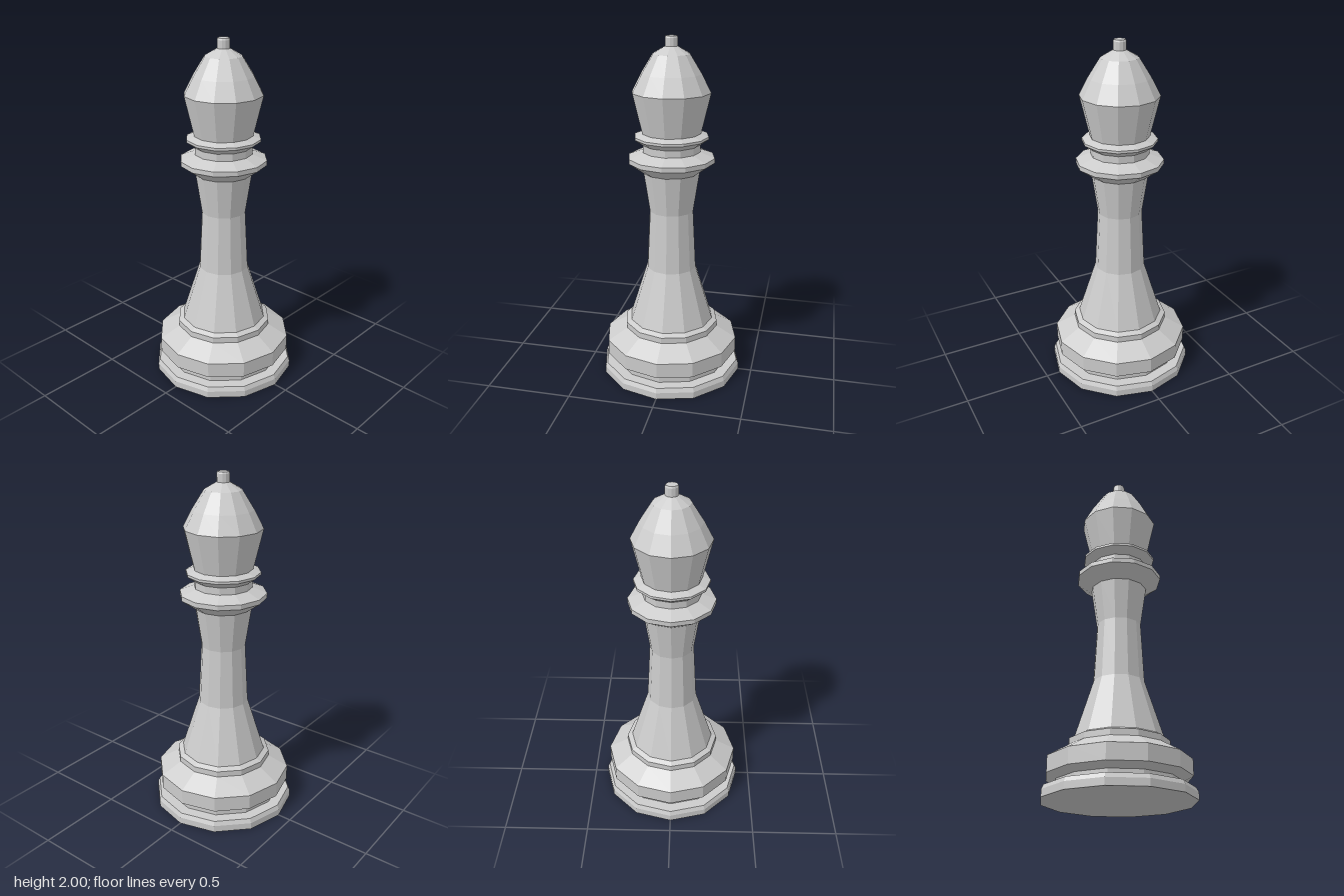
import * as THREE from 'three';

const SIDES = 12;
const material = new THREE.MeshStandardMaterial({ color: 0xcccccc, flatShading: true });

// Faceted turned section; profile is [radius, height] pairs from bottom to top
function turned(name, profile) {
  const points = profile.map(([r, y]) => new THREE.Vector2(r, y));
  const mesh = new THREE.Mesh(new THREE.LatheGeometry(points, SIDES), material);
  mesh.name = name;
  return mesh;
}

export function createModel() {
  const group = new THREE.Group();
  group.name = 'chessBishop';

  // Each section starts where the one below it ends, forming one closed skin
  group.add(
    // Foot disc with a small chamfer
    turned('foot', [[0, 0], [0.42, 0], [0.42, 0.04], [0.408, 0.065], [0.345, 0.065]]),
    // Recessed groove, wide drum and sloping shoulder
    turned('baseDrum', [[0.345, 0.065], [0.345, 0.1], [0.397, 0.127], [0.397, 0.217], [0.28, 0.285]]),
    // Thin step under the stem
    turned('baseStep', [[0.28, 0.285], [0.28, 0.32], [0.25, 0.335]]),
    // Waisted stem
    turned('stem', [[0.25, 0.335], [0.146, 0.665], [0.128, 1.015], [0.163, 1.247]]),
    // Large collar
    turned('lowerCollar', [[0.163, 1.247], [0.248, 1.308], [0.248, 1.335], [0.165, 1.367]]),
    // Short neck between the collars
    turned('neck', [[0.165, 1.367], [0.165, 1.408]]),
    // Small collar
    turned('upperCollar', [[0.165, 1.408], [0.212, 1.442], [0.212, 1.456], [0.168, 1.473]]),
    // Flared head with a tapering dome
    turned('head', [[0.168, 1.473], [0.222, 1.7], [0.17, 1.8], [0.104, 1.905], [0.036, 1.945]]),
    // Finial knob
    turned('finial', [[0.036, 1.945], [0.036, 1.99], [0.032, 2], [0, 2]])
  );
  return group;
}
